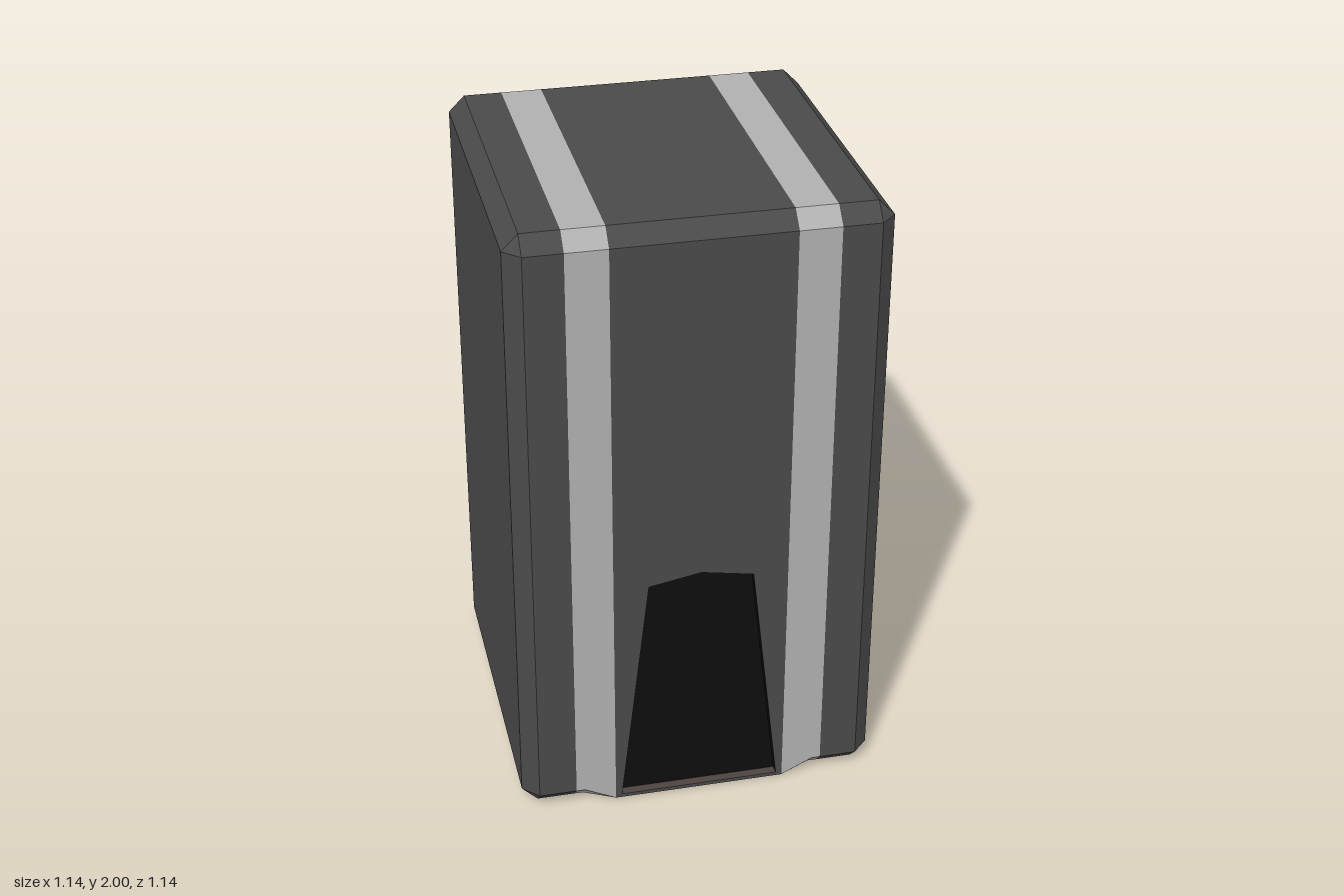
import * as THREE from 'three';

const W = 0.572, C = 0.05, H = 2;          // half width, chamfer, height
const S0 = 0.275, S1 = 0.403, T = 0.375;   // stripe edges, where the lower chamfer starts to fade

const material = (color) => new THREE.MeshStandardMaterial({ color, flatShading: true });

// Flat-shaded mesh from quads, dropping collapsed triangles
function quadMesh(name, quads, mat) {
  const pos = [];
  const tri = (a, b, c) => {
    if (new THREE.Triangle(a, b, c).getArea() > 1e-7) for (const p of [a, b, c]) pos.push(p.x, p.y, p.z);
  };
  for (const [a, b, c, d] of quads) { tri(a, b, c); tri(a, c, d); }
  const g = new THREE.BufferGeometry();
  g.setAttribute('position', new THREE.Float32BufferAttribute(pos, 3));
  g.computeVertexNormals();
  const mesh = new THREE.Mesh(g, mat);
  mesh.name = name;
  return mesh;
}

// Octagonal cross-section at x: from top back over the front to the back
function ring(x) {
  const end = Math.abs(x) > W - 1e-4;
  const inset = end ? C : 0;
  const top = end ? 0 : C;
  const low = end ? 0 : C * THREE.MathUtils.clamp((Math.abs(x) - S0) / (T - S0), 0, 1);
  const z = W - inset, yt = H - inset, yb = inset;
  return [
    [yt, -z + top], [yt, z - top], [yt - top, z], [yb + low, z],
    [yb, z - low], [yb, -z + low], [yb + low, -z], [yt - top, -z],
  ].map(([y, zz]) => new THREE.Vector3(x, y, zz));
}

// Quads between neighbouring cross-sections
function loft(xs, skip = -1) {
  const rings = xs.map(ring), quads = [];
  for (let i = 0; i < rings.length - 1; i++) {
    const a = rings[i], b = rings[i + 1];
    for (let k = 0; k < 8; k++) {
      const n = (k + 1) % 8;
      if (k !== skip) quads.push([a[k], a[n], b[n], b[k]]);
    }
  }
  return quads;
}

export function createModel() {
  const group = new THREE.Group();
  const dark = material(0x4a4a4a), light = material(0xb0b0b0);
  const black = material(0x0d0d0d), brown = material(0x4d4240);

  // Outer body sections with their end faces, and the light stripes
  for (const s of [1, -1]) {
    const span = (xs) => xs.map((x) => x * s).sort((a, b) => a - b);
    const side = loft(span([S1, W - C, W]));
    const e = ring(s * W), cap = [e[0], e[2], e[4], e[6]];
    side.push(s > 0 ? cap : cap.reverse());
    const label = s > 0 ? 'left' : 'right';
    group.add(quadMesh(label + 'Side', side, dark));
    group.add(quadMesh(label + 'Stripe', loft(span([S0, T, S1])), light));
  }

  // Middle section, open where the front panel sits
  group.add(quadMesh('middleBody', loft([-S0, S0], 2), dark));

  // Front panel with the doorway cut out
  const door = [[-0.255, 0.012], [0.255, 0.012], [0.165, 0.8], [0, 0.83], [-0.165, 0.8]]
    .map(([x, y]) => new THREE.Vector2(x, y));
  const panelShape = new THREE.Shape([[-S0, 0], [S0, 0], [S0, H - C], [-S0, H - C]]
    .map(([x, y]) => new THREE.Vector2(x, y)));
  panelShape.holes.push(new THREE.Path(door));
  const panel = new THREE.Mesh(new THREE.ShapeGeometry(panelShape), dark);
  panel.name = 'frontPanel';
  panel.position.z = W;
  group.add(panel);

  // Shallow doorway: dark back, dark walls and a sill
  const depth = 0.03;
  const back = new THREE.Mesh(new THREE.ShapeGeometry(new THREE.Shape(door)), black);
  back.name = 'doorwayBack';
  back.position.z = W - depth;
  group.add(back);
  const walls = door.map((p, i) => {
    const q = door[(i + 1) % door.length];
    const at = (v, z) => new THREE.Vector3(v.x, v.y, z);
    return [at(p, W), at(q, W), at(q, W - depth), at(p, W - depth)];
  });
  group.add(quadMesh('doorwaySill', walls.slice(0, 1), brown));
  group.add(quadMesh('doorwayWalls', walls.slice(1), black));
  return group;
}
